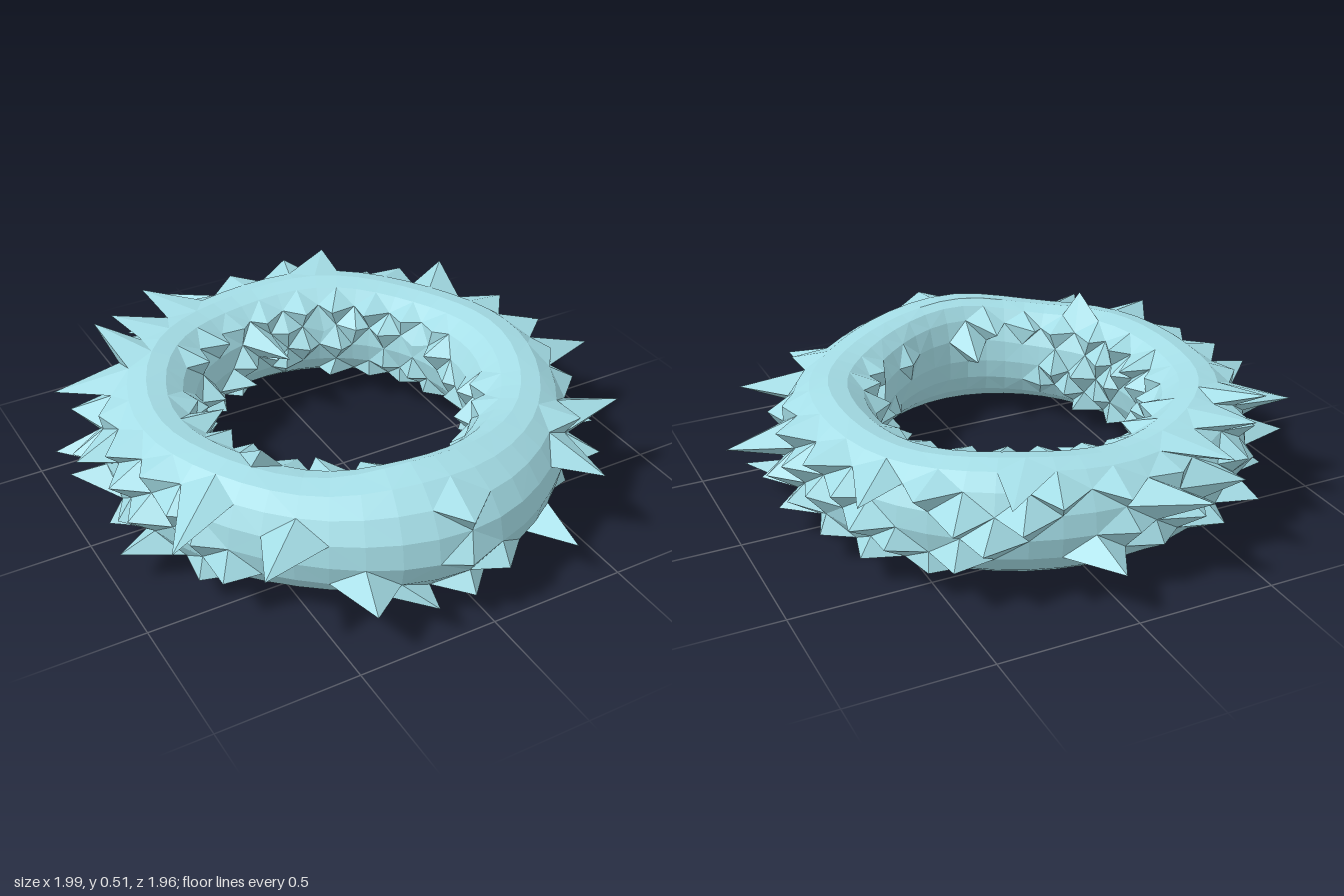
import * as THREE from 'three';

const RING = 48, TUBE = 16;            // facets around the ring and around its tube
const R = 0.662, WIDE = 0.178, TALL = 0.195, CX = -0.045, CY = 0.25, CZ = 0.01;
const TAU = Math.PI * 2;

// Large spikes: tip x, y, z
const OUTER_TIPS = [
  [0.99, 0.31, 0.13], [0.88, 0.38, -0.39], [0.77, 0.39, -0.57], [0.53, 0.32, -0.75], [0.37, 0.42, -0.84],
  [0.21, 0.4, -0.87], [0.04, 0.18, -0.98], [-0.14, 0.3, -0.9], [-0.29, 0.34, -0.95], [-0.41, 0.43, -0.87],
  [-0.51, 0.3, -0.8], [-0.6, 0.45, -0.71], [-0.7, 0.49, -0.62], [-0.93, 0.36, -0.45], [-0.98, 0.18, -0.35],
  [-0.99, 0.2, -0.17], [-1.0, 0.33, -0.05], [-0.98, 0.13, 0.24], [-0.93, 0.36, 0.59], [-0.73, 0.34, 0.82],
  [-0.42, 0.18, 0.97], [-0.2, 0.13, 0.98], [0.07, 0.18, 0.97], [0.36, 0.14, 0.95], [0.82, 0.34, 0.54],
  [0.87, 0.12, 0.36], [0.85, 0.18, -0.08], [0.53, 0.3, 0.85],
];
const INNER_TIPS = [
  [-0.05, 0.3, -0.32], [0.16, 0.3, -0.44], [-0.17, 0.2, -0.36], [-0.46, 0.38, -0.03], [-0.5, 0.4, 0.12],
  [-0.43, 0.49, 0.27], [-0.33, 0.4, 0.4], [-0.2, 0.38, 0.47], [-0.1, 0.3, 0.43], [-0.54, 0.52, 0.43],
  [0.4, 0.3, 0.37], [0.4, 0.2, 0.05], [0.4, 0.3, -0.18],
];

function seeded(seed) {
  return () => (seed = (seed * 16807) % 2147483647) / 2147483647;
}

// Soft hump around the angle "at" (radians)
const hump = (u, at, width) => Math.exp(-(((u - at) / width) ** 2));

// Point on the ring, which shifts outward at the front and rolls gently up and down
function ringPoint(i, j) {
  const u = (i / RING) * TAU, v = (j / TUBE) * TAU;
  const c = Math.cos(v), s = Math.sin(v);
  const rho = R + WIDE * c + 0.08 * hump(u, 1.6, 0.5) * Math.abs(c);
  const rise = s > 0
    ? 0.035 * hump(u, 1.75, 0.35) + 0.01 * Math.sin(5 * u + 1)
    : 0.02 * hump(u, 2.8, 0.4);
  return new THREE.Vector3(CX + rho * Math.cos(u), CY + TALL * s + rise * s, CZ + rho * Math.sin(u));
}

// Nearest grid corner with an even sum, the only kind that becomes a spike
function cornerKey([x, y, z], inner) {
  const u = (Math.atan2(z - CZ, x - CX) + TAU) % TAU;
  const a = Math.asin(THREE.MathUtils.clamp((y - CY) / TALL, -0.85, 0.85));
  const v = ((inner ? Math.PI - a : a) + TAU) % TAU;
  const j = Math.round((v / TAU) * TUBE) % TUBE, odd = j % 2;
  const i = (2 * Math.round(((u / TAU) * RING - odd) / 2) + odd + RING) % RING;
  return i + ':' + j;
}

export function createModel() {
  const group = new THREE.Group();
  const random = seeded(4217);
  const tips = new Map();
  for (const t of OUTER_TIPS) tips.set(cornerKey(t, false), new THREE.Vector3(...t));
  for (const t of INNER_TIPS) tips.set(cornerKey(t, true), new THREE.Vector3(...t));

  // One downward spike under the front right
  tips.set('5:11', new THREE.Vector3(0.36, 0.005, 0.3));

  // Corners of the ring, some pulled out sideways into smaller spikes
  const corners = [];
  for (let i = 0; i < RING; i++) {
    for (let j = 0; j < TUBE; j++) {
      const p = ringPoint(i, j);
      const u = (i / RING) * TAU, side = Math.cos((j / TUBE) * TAU);
      const front = Math.sin(u) > 0.85;
      const grows = random() < (front ? 0.15 : 0.65), size = random(), lean = random() - 0.5;
      const tip = tips.get(i + ':' + j);
      if (tip) {
        p.copy(tip);
      } else if (grows && (i + j) % 2 === 0 && Math.abs(side) > 0.6) {
        const out = side > 0 ? 0.04 + 0.08 * size : -0.03 - 0.05 * size;
        const along = 0.06 * lean;
        p.x += out * Math.cos(u) - along * Math.sin(u);
        p.z += out * Math.sin(u) + along * Math.cos(u);
      }
      corners.push(p);
    }
  }

  // Facets, split so that each spike is a separate four-sided pyramid
  const points = corners.flatMap((p) => p.toArray());
  const index = [];
  const at = (i, j) => (i % RING) * TUBE + (j % TUBE);
  for (let i = 0; i < RING; i++) {
    for (let j = 0; j < TUBE; j++) {
      const a = at(i, j), b = at(i, j + 1), c = at(i + 1, j + 1), d = at(i + 1, j);
      if ((i + j) % 2 === 0) index.push(a, b, d, b, c, d);
      else index.push(a, b, c, a, c, d);
    }
  }
  const geometry = new THREE.BufferGeometry();
  geometry.setAttribute('position', new THREE.Float32BufferAttribute(points, 3));
  geometry.setIndex(index);
  geometry.computeVertexNormals();

  const mesh = new THREE.Mesh(geometry, new THREE.MeshStandardMaterial({ color: 0xa4dde6, flatShading: true }));
  mesh.name = 'spikedRing';
  group.add(mesh);
  return group;
}
